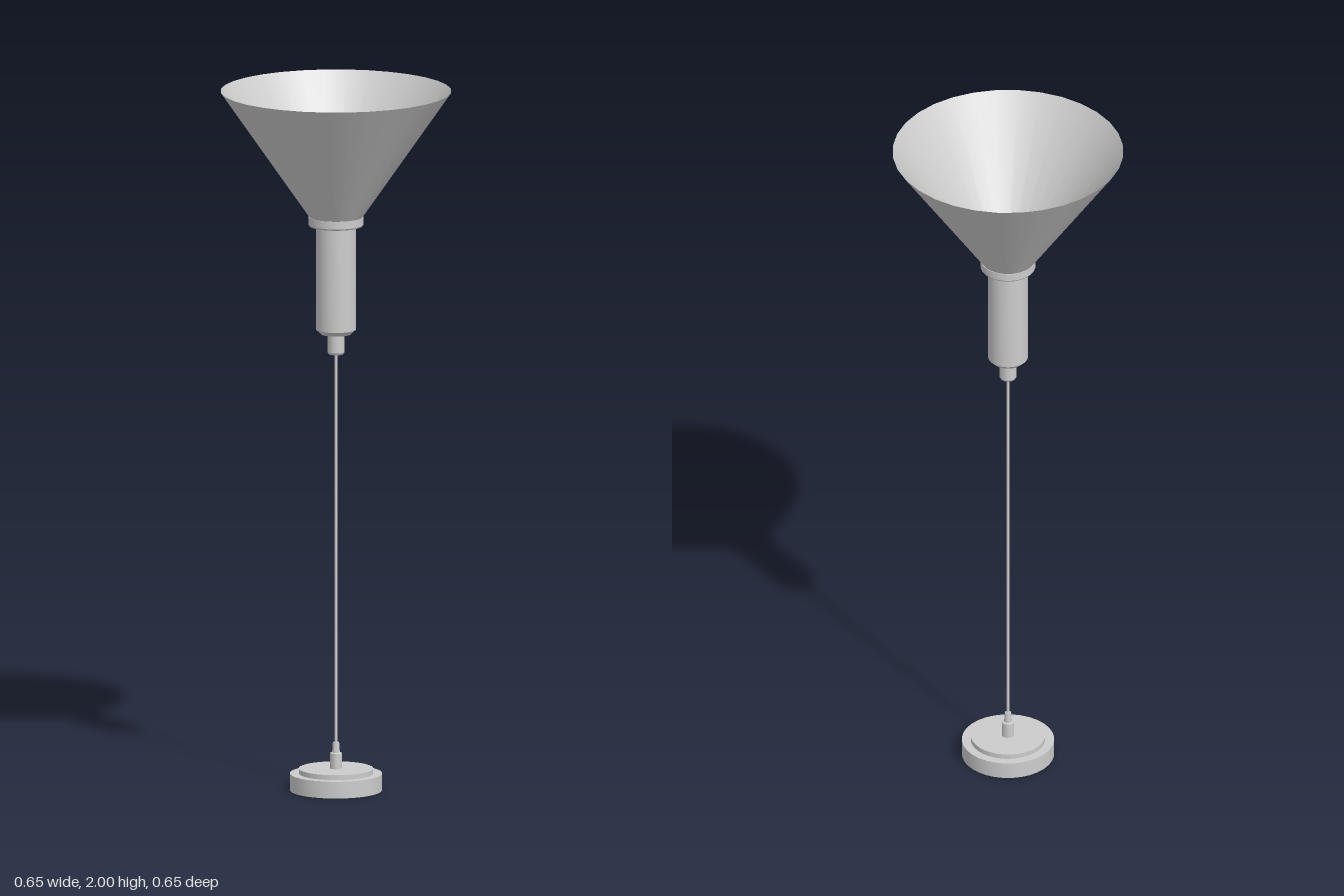
import * as THREE from 'three';
import { toCreasedNormals } from 'three/addons/utils/BufferGeometryUtils.js';

export function createModel() {
  const group = new THREE.Group();
  group.name = 'coneLamp';
  const grey = new THREE.MeshStandardMaterial({ color: 0xcccccc, side: THREE.DoubleSide });
  grey.name = 'lightGrey';

  // Turned part from [radius, height] pairs, listed bottom to top along the outside
  function turned(name, profile, sides = 32) {
    const points = profile.map(([r, y]) => new THREE.Vector2(r, y));
    const geometry = toCreasedNormals(new THREE.LatheGeometry(points, sides), 0.5);
    const mesh = new THREE.Mesh(geometry, grey);
    mesh.name = name;
    group.add(mesh);
  }

  // Stepped round base plate
  turned('base', [[0, 0], [0.13, 0], [0.13, 0.048], [0.105, 0.048], [0.105, 0.062], [0, 0.062]]);

  // Cord grip rising from the base
  turned('cordGrip', [[0.017, 0.062], [0.017, 0.106], [0.011, 0.108], [0.009, 0.137], [0, 0.137]], 24);

  // Thin cord
  turned('cord', [[0.004, 0.13], [0.004, 1.26]], 12);

  // Cord inlet under the holder
  turned('inlet', [[0, 1.247], [0.02, 1.247], [0.024, 1.253], [0.024, 1.31]], 24);

  // Holder body with chamfered foot and an open, recessed top
  turned('holder', [[0, 1.305], [0.043, 1.305], [0.056, 1.318], [0.056, 1.636],
    [0.046, 1.636], [0.046, 1.56], [0, 1.56]]);

  // Bulb socket inside the holder
  turned('socket', [[0.037, 1.56], [0.037, 1.62], [0.031, 1.62], [0.031, 1.58], [0, 1.58]]);

  // Collar that carries the shade
  turned('collar', [[0.056, 1.614], [0.074, 1.614], [0.077, 1.618], [0.077, 1.64], [0.056, 1.64], [0.056, 1.614]]);

  // Open conical shade
  turned('shade', [[0.075, 1.64], [0.325, 2]]);

  return group;
}
